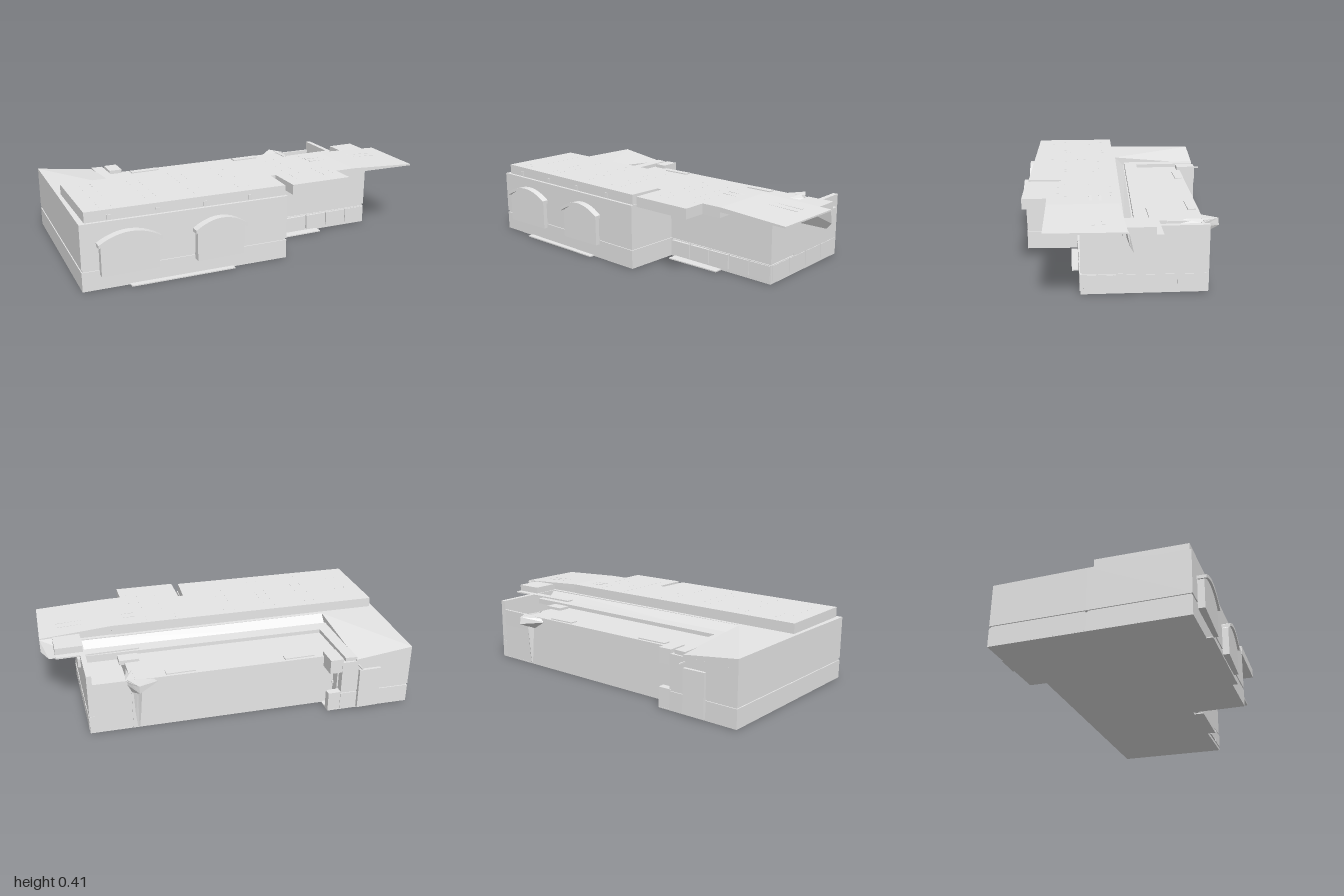
import * as THREE from 'three';
import { ConvexGeometry } from 'three/addons/geometries/ConvexGeometry.js';

export function createModel() {
  const model = new THREE.Group();
  const concrete = new THREE.MeshStandardMaterial({ color: 0xe6e6e6, side: THREE.DoubleSide });
  concrete.name = 'concrete';

  function add(name, geometry) {
    const mesh = new THREE.Mesh(geometry, concrete);
    mesh.name = name;
    model.add(mesh);
    return mesh;
  }
  // upright prism from a plan outline of [x, z] points
  function prism(name, plan, y0, y1) {
    const shape = new THREE.Shape(plan.map(([x, z]) => new THREE.Vector2(x, -z)));
    const g = new THREE.ExtrudeGeometry(shape, { depth: y1 - y0, bevelEnabled: false });
    g.rotateX(-Math.PI / 2).translate(0, y0, 0);
    return add(name, g);
  }
  // box given by its limits
  function block(name, x0, x1, y0, y1, z0, z1) {
    const g = new THREE.BoxGeometry(x1 - x0, y1 - y0, z1 - z0);
    return add(name, g.translate((x0 + x1) / 2, (y0 + y1) / 2, (z0 + z1) / 2));
  }
  const hull = (name, pts) => add(name, new ConvexGeometry(pts.map((p) => new THREE.Vector3(...p))));
  const frontZ = (x) => 0.5 + (x + 1) * 0.034;

  // plan moved inwards by d, for outlines that start along the front towards +x
  function inset(plan, d) {
    const normal = ([ax, az], [bx, bz]) => {
      const l = Math.hypot(bx - ax, bz - az);
      return [(bz - az) / l, (ax - bx) / l];
    };
    return plan.map((p, i) => {
      const a = normal(plan.at(i - 1), p);
      const b = normal(p, plan[(i + 1) % plan.length]);
      const k = d / (1 + a[0] * b[0] + a[1] * b[1]);
      return [p[0] + (a[0] + b[0]) * k, p[1] + (a[1] + b[1]) * k];
    });
  }
  // walls with a plinth and a shallow groove above it
  function walls(name, plan, top) {
    prism(name + 'Plinth', plan, 0.005, 0.102);
    prism(name + 'Groove', inset(plan, 0.006), 0.102, 0.113);
    prism(name + 'Wall', plan, 0.113, top);
  }
  walls('mainHall', [[-1, 0.5], [0.11, 0.538], [0.12, 0.235], [0.8, 0.25], [0.8, 0.03], [-0.985, -0.02]], 0.35);
  walls('rearCorner', [[-0.985, -0.02], [-0.57, -0.01], [-0.57, -0.518], [-0.97, -0.53]], 0.295);
  walls('yardSide', [[0.772, 0.04], [0.8, 0.04], [0.8, -0.387], [0.772, -0.387]], 0.348);
  prism('rearHall', [[-0.58, 0], [-0.58, -0.422], [0.57, -0.395], [0.57, 0.04]], 0.005, 0.295);
  prism('floorPlate', [[-1, 0.5], [0.11, 0.538], [0.12, 0.235], [0.8, 0.25], [0.8, -0.385],
    [-0.5, -0.42], [-0.5, -0.515], [-0.97, -0.53]], 0, 0.006);

  // porch in the rear corner: lintel, low plinth and door with a knob
  block('porchLintel', -0.575, -0.5, 0.235, 0.316, -0.515, -0.4);
  block('porchPlinth', -0.575, -0.5, 0.005, 0.11, -0.515, -0.475);
  block('porchDoor', -0.572, -0.562, 0.005, 0.235, -0.475, -0.42);
  block('doorKnob', -0.562, -0.55, 0.125, 0.137, -0.435, -0.425);

  // sunken yard at the rear right
  prism('yardFloor', [[0.57, 0.04], [0.57, -0.39], [0.8, -0.385], [0.8, 0.04]], 0.005, 0.2);
  prism('yardBackWall', [[0.57, -0.38], [0.57, -0.393], [0.79, -0.386], [0.79, -0.373]], 0.2, 0.295);

  // sloped roof over the rear corner
  hull('cornerRoof', [
    [-0.985, 0.29, -0.02], [-0.97, 0.29, -0.53], [-0.65, 0.29, -0.52], [-0.65, 0.29, -0.02],
    [-0.985, 0.35, -0.02], [-0.97, 0.345, -0.53], [-0.65, 0.305, -0.52], [-0.65, 0.305, -0.07], [-0.65, 0.35, -0.01],
  ]);
  // sloped strip behind the main roof
  hull('roofSkirt', [
    [-0.66, 0.29, -0.07], [-0.66, 0.35, -0.01], [-0.66, 0.29, 0.01],
    [0.8, 0.29, -0.02], [0.8, 0.35, 0.035], [0.8, 0.29, 0.05],
  ]);
  // raised band round the rear roof
  prism('rearParapet', [[-0.655, -0.51], [-0.59, -0.505], [-0.585, -0.145], [0.79, -0.105], [0.79, -0.025],
    [-0.655, -0.07]], 0.285, 0.316);
  block('roofBox', 0.78, 0.93, 0.34, 0.385, -0.11, 0.05);
  block('roofBoxLedge', 0.48, 0.93, 0.34, 0.348, -0.145, -0.1);
  block('wallBox', 0.79, 0.815, 0.27, 0.32, -0.14, -0.1);
  block('rearVentLeft', -0.45, -0.28, 0.295, 0.301, -0.4, -0.36);
  block('rearVentRight', 0.22, 0.38, 0.295, 0.301, -0.385, -0.34);

  // main roof slab, notch and overhang
  prism('roofSlab', [[-0.97, 0.485], [-0.965, 0.005], [0.6, 0.045], [0.6, 0.415], [0.49, 0.415], [0.49, 0.543],
    [0.145, 0.535], [0.145, 0.34], [0.115, 0.34], [0.105, 0.522]], 0.35, 0.405);
  hull('roofOverhang', [
    [0.6, 0.405, 0.045], [0.6, 0.405, 0.415], [0.6, 0.38, 0.045], [0.6, 0.38, 0.415],
    [0.99, 0.385, 0.425], [1, 0.385, 0.03], [0.99, 0.377, 0.425], [1, 0.377, 0.03],
  ]);
  prism('roofSupport', [[0.6, 0.05], [0.6, 0.24], [0.79, 0.245], [0.79, 0.05]], 0.34, 0.385);
  hull('overhangBracket', [
    [0.79, 0.38, 0.055], [1, 0.38, 0.035], [1, 0.31, 0.02], [0.96, 0.27, 0], [0.79, 0.27, 0],
    [0.79, 0.38, 0.045], [1, 0.38, 0.025],
  ]);
  for (const z of [0.13, 0.18]) {
    const slat = block('roofSlat', 0.45, 0.9, 0, 0.008, z, z + 0.015);
    slat.position.y = 0.416;
    slat.rotation.z = -0.035;
  }
  // rafter ends and rows of roof studs
  for (const x of [-0.85, -0.6, -0.35, -0.1, 0.25, 0.42]) {
    const z = frontZ(x) - 0.015;
    block('rafterEnd', x - 0.01, x + 0.01, 0.355, 0.38, z - 0.02, z + 0.004);
    for (const dx of [-0.03, 0.03]) {
      for (let sz = 0.07; sz < 0.44; sz += 0.04) {
        block('roofStud', x + dx - 0.002, x + dx + 0.002, 0.404, 0.4055, sz, sz + 0.012);
      }
    }
  }

  // arched front windows
  for (const [x0, x1] of [[-0.91, -0.61], [-0.41, -0.15]]) {
    const mid = (x0 + x1) / 2, half = (x1 - x0) / 2;
    const arch = (w, y, rise) => {
      const pts = [];
      for (let i = 0; i <= 12; i++) {
        const t = i / 6 - 1;
        pts.push(new THREE.Vector2(mid + t * w, y + rise * (1 - t * t)));
      }
      return pts;
    };
    const panel = new THREE.Shape([new THREE.Vector2(mid - half, 0.08), ...arch(half, 0.235, 0.05),
      new THREE.Vector2(mid + half, 0.08)].reverse());
    const hood = new THREE.Shape([...arch(half + 0.012, 0.25, 0.05), ...arch(half + 0.012, 0.232, 0.05).reverse()]);
    for (const [name, shape, depth] of [['archedWindow', panel, 0.05], ['windowHood', hood, 0.062]]) {
      const g = new THREE.ExtrudeGeometry(shape, { depth, bevelEnabled: false });
      add(name, g.translate(0, 0, frontZ(mid) - 0.02));
    }
  }

  // plinth panels on the recessed front and right side
  for (let i = 0; i < 5; i++) {
    const x = 0.14 + i * 0.133;
    block('recessPanel', x, x + 0.125, 0.018, 0.098, 0.23, 0.254);
  }
  for (let i = 0; i < 4; i++) {
    const z = -0.375 + i * 0.155;
    block('sidePanel', 0.79, 0.803, 0.018, 0.098, z, z + 0.146);
  }

  // paving strips
  prism('frontPaving', [[-0.76, 0.5], [-0.76, 0.54], [-0.2, 0.555], [-0.2, 0.51]], 0, 0.006);
  block('recessPaving', 0.15, 0.48, 0, 0.006, 0.22, 0.29);

  // rear door and lamp rod
  block('rearDoor', -0.79, -0.665, 0.01, 0.245, -0.54, -0.51);
  block('lampRod', -0.666, -0.66, 0.268, 0.274, -0.57, -0.5);

  // slim post with a flared canopy on the rear wall
  hull('finPost', [
    [0.52, 0.01, -0.385], [0.56, 0.01, -0.385], [0.54, 0.01, -0.4],
    [0.5, 0.24, -0.385], [0.57, 0.24, -0.385], [0.54, 0.24, -0.42],
  ]);
  hull('finCanopy', [
    [0.42, 0.27, -0.39], [0.59, 0.27, -0.39], [0.5, 0.22, -0.385], [0.57, 0.22, -0.385],
    [0.54, 0.26, -0.48], [0.54, 0.3, -0.475], [0.44, 0.29, -0.39], [0.59, 0.3, -0.39],
  ]);
  hull('finCrest', [[0.54, 0.27, -0.47], [0.55, 0.3, -0.46], [0.6, 0.29, -0.38], [0.57, 0.27, -0.22], [0.55, 0.3, -0.3]]);
  block('yardCurb', 0.49, 0.6, 0.285, 0.31, -0.2, -0.13);

  return model;
}
